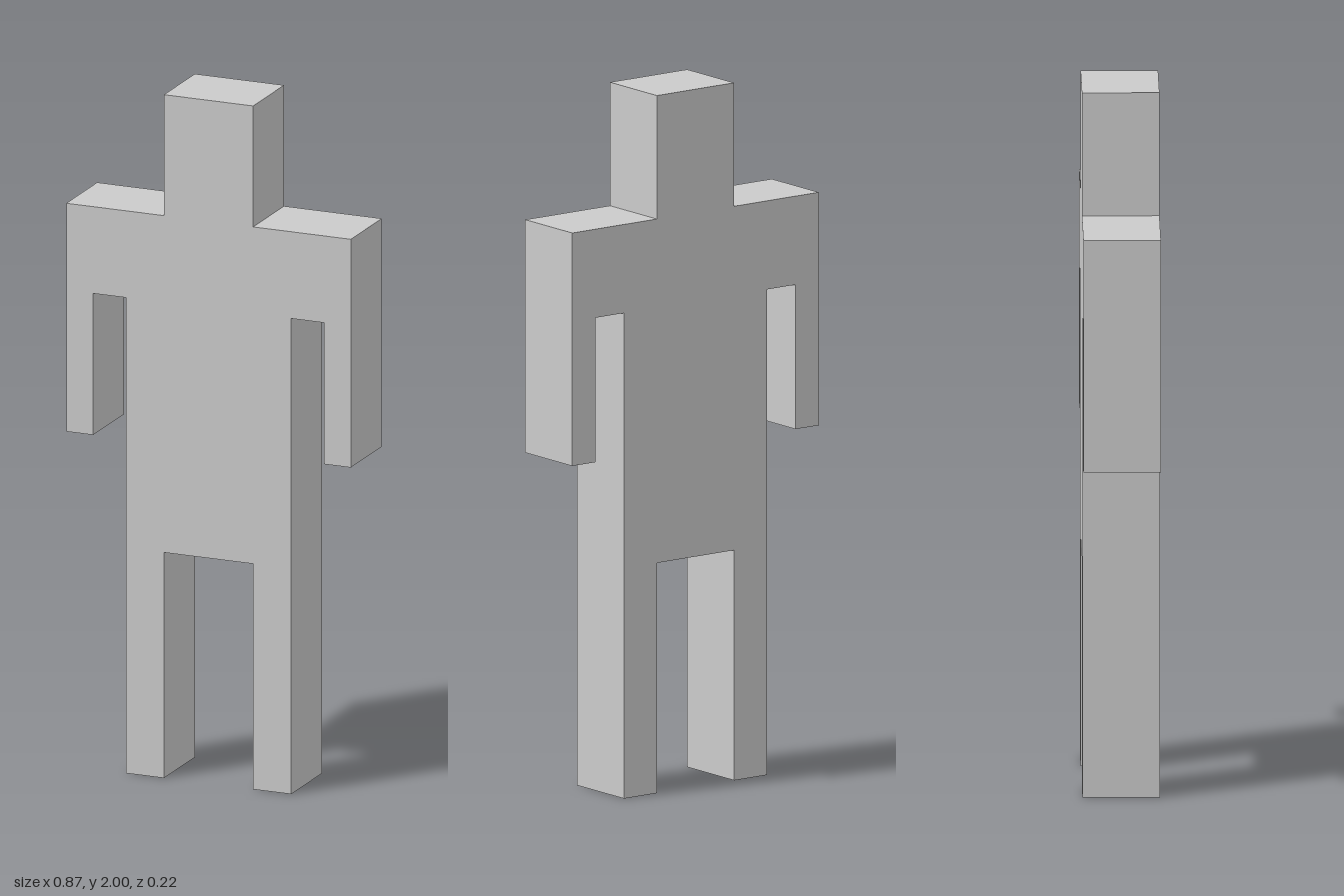
import * as THREE from 'three';

const DEPTH = 0.217;

// Left half of the silhouette, from the crotch round to the top of the head
const HALF = [
  [0.136, 0.66],  // crotch
  [0.136, 0],     // inner foot
  [0.252, 0],     // outer foot
  [0.252, 1.392], // armpit
  [0.352, 1.392],
  [0.352, 0.978], // inner hand
  [0.434, 0.978], // outer hand
  [0.434, 1.646], // shoulder
  [0.136, 1.646], // neck
  [0.136, 2],     // top of head
];

export function createModel() {
  const model = new THREE.Group();
  model.name = 'standingFigure';

  // Mirror the half outline and extrude it into one flat slab
  const mirrored = HALF.map(([x, y]) => [-x, y]).reverse();
  const outline = [...HALF, ...mirrored].map(([x, y]) => new THREE.Vector2(x, y));
  const geometry = new THREE.ExtrudeGeometry(new THREE.Shape(outline), {
    depth: DEPTH,
    bevelEnabled: false,
  });
  geometry.translate(0, 0, -DEPTH / 2);

  const material = new THREE.MeshStandardMaterial({ color: 0xcccccc, flatShading: true });
  const body = new THREE.Mesh(geometry, material);
  body.name = 'body';
  model.add(body);
  return model;
}
